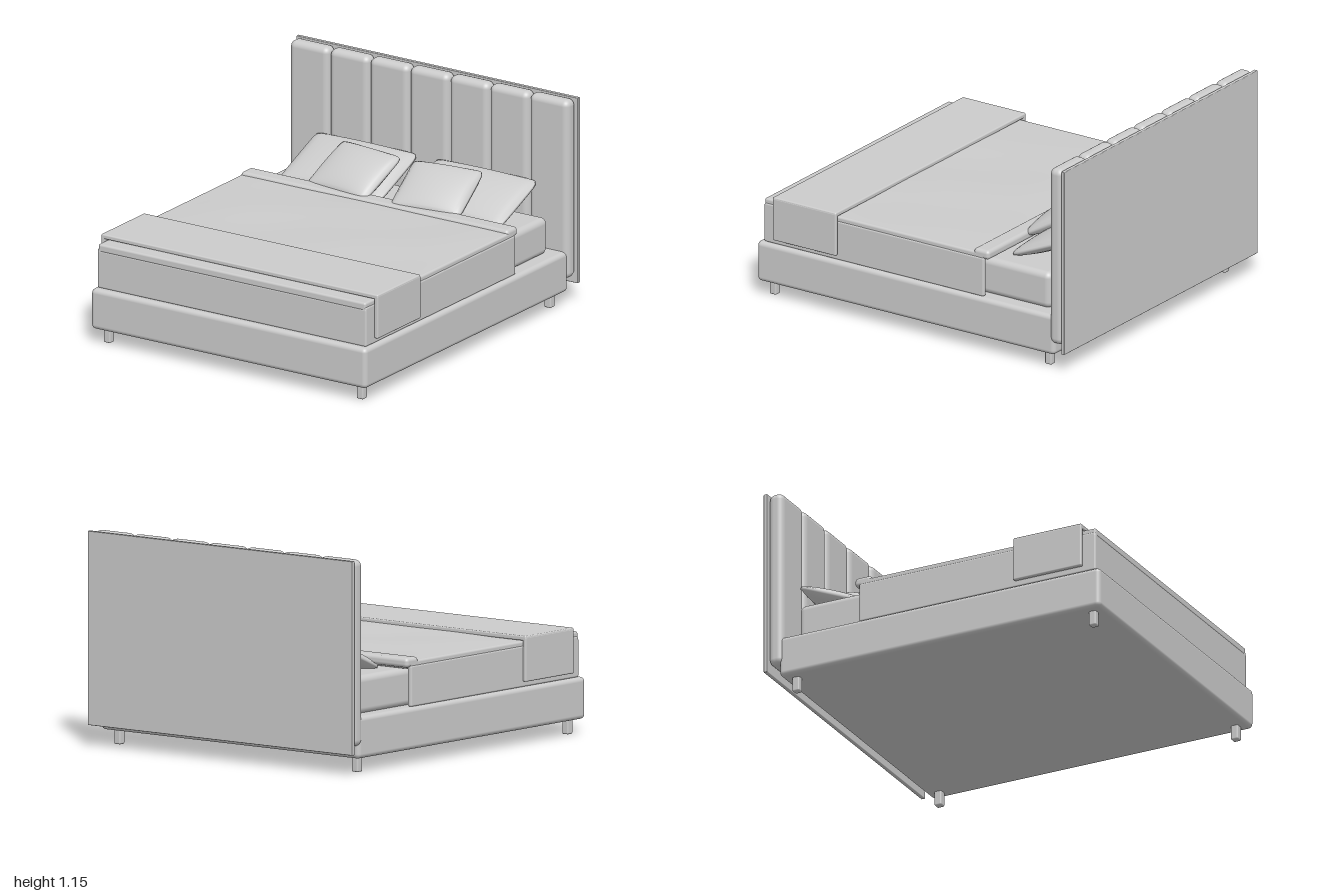
import * as THREE from 'three';
import { RoundedBoxGeometry } from 'three/addons/geometries/RoundedBoxGeometry.js';
import { mergeVertices } from 'three/addons/utils/BufferGeometryUtils.js';

const material = new THREE.MeshStandardMaterial({ color: 0xcccccc });

function add(parent, name, geometry) {
  const mesh = new THREE.Mesh(geometry, material);
  mesh.name = name;
  parent.add(mesh);
  return mesh;
}

// Rounded block given by its [min, max] range on each axis
function block(parent, name, [x0, x1], [y0, y1], [z0, z1], radius) {
  const mesh = add(parent, name, new RoundedBoxGeometry(x1 - x0, y1 - y0, z1 - z0, 4, radius));
  mesh.position.set((x0 + x1) / 2, (y0 + y1) / 2, (z0 + z1) / 2);
  return mesh;
}

// Same block on the left (+x) and right (-x) sides
function pair(parent, name, [x0, x1], y, z, radius) {
  block(parent, name + 'Left', [x0, x1], y, z, radius);
  block(parent, name + 'Right', [-x1, -x0], y, z, radius);
}

// Pillow: a fine slab swollen in the middle, with thin seams and rounded corners
function pillowGeometry(width, depth, swell) {
  let geometry = new THREE.BoxGeometry(2, 2, 2, 24, 2, 24);
  geometry.deleteAttribute('normal');
  geometry.deleteAttribute('uv');
  geometry = mergeVertices(geometry);
  const p = geometry.attributes.position;
  for (let i = 0; i < p.count; i++) {
    const u = p.getX(i), v = p.getZ(i);
    const bulge = Math.pow((1 - u * u) * (1 - v * v), 0.5);
    const cornerPull = 1 - 0.04 * Math.pow(u * v, 8);
    p.setXYZ(i, u * cornerPull * width / 2, p.getY(i) * (0.008 + swell * bulge), v * cornerPull * depth / 2);
  }
  geometry.computeVertexNormals();
  return geometry;
}

export function createModel() {
  const bed = new THREE.Group();
  bed.name = 'bed';

  // Frame and legs
  block(bed, 'base', [-0.88, 0.88], [0.08, 0.305], [-0.92, 1], 0.025);
  for (const z of [0.93, -0.845])
    pair(bed, 'leg', [0.788, 0.83], [0, 0.085], [z - 0.021, z + 0.021], 0.008);

  // Headboard: thin back board with seven upholstered channels
  const headboard = new THREE.Group();
  headboard.name = 'headboard';
  bed.add(headboard);
  block(headboard, 'backBoard', [-0.9, 0.9], [0.11, 1.15], [-1, -0.978], 0.004);
  for (let i = 0; i < 7; i++) {
    const x = (i - 3) * 0.2555;
    block(headboard, 'channel' + (i + 1), [x - 0.125, x + 0.125], [0.15, 1.15], [-0.978, -0.892], 0.035);
  }

  // Mattress
  block(bed, 'mattress', [-0.805, 0.805], [0.3, 0.505], [-0.84, 0.93], 0.035);

  // Duvet: gently rippled top, hanging sides and front, folded edge
  const duvet = new THREE.Group();
  duvet.name = 'duvet';
  bed.add(duvet);
  block(duvet, 'duvetSlab', [-0.855, 0.855], [0.505, 0.55], [-0.45, 0.965], 0.012);
  const ripple = new THREE.PlaneGeometry(1.68, 1.38, 40, 40).rotateX(-Math.PI / 2);
  const p = ripple.attributes.position;
  for (let i = 0; i < p.count; i++) {
    const x = p.getX(i), z = p.getZ(i);
    const fade = (1 - (x / 0.84) ** 4) * (1 - (z / 0.69) ** 4);
    p.setY(i, fade * (0.009 + 0.005 * Math.sin(7 * x + 2 * z) * Math.cos(6 * z - x)));
  }
  ripple.computeVertexNormals();
  add(duvet, 'duvetTop', ripple).position.set(0, 0.5505, 0.257);
  pair(duvet, 'duvetSide', [0.832, 0.86], [0.305, 0.525], [-0.45, 0.965], 0.01);
  block(duvet, 'duvetFront', [-0.86, 0.86], [0.305, 0.515], [0.935, 0.966], 0.01);
  block(duvet, 'duvetFold', [-0.855, 0.855], [0.515, 0.567], [-0.48, -0.38], 0.02);

  // Throw across the foot end
  const throwBlanket = new THREE.Group();
  throwBlanket.name = 'throwBlanket';
  bed.add(throwBlanket);
  block(throwBlanket, 'throwTop', [-0.885, 0.885], [0.554, 0.58], [0.485, 0.893], 0.008);
  pair(throwBlanket, 'throwSide', [0.861, 0.886], [0.335, 0.575], [0.485, 0.893], 0.008);

  // Sleeping pillows and smaller cushions leaning towards the headboard
  const pillow = pillowGeometry(0.645, 0.405, 0.05);
  const cushion = pillowGeometry(0.41, 0.345, 0.05);
  for (const side of [1, -1]) {
    const suffix = side > 0 ? 'Left' : 'Right';
    const back = add(bed, 'pillow' + suffix, pillow);
    back.position.set(side * 0.383, 0.59, -0.705);
    back.rotation.x = 0.4;
    const front = add(bed, 'cushion' + suffix, cushion);
    front.position.set(side * 0.265, 0.626, -0.58);
    front.rotation.set(0.51, side * 0.13, 0, 'YXZ');
  }
  return bed;
}
